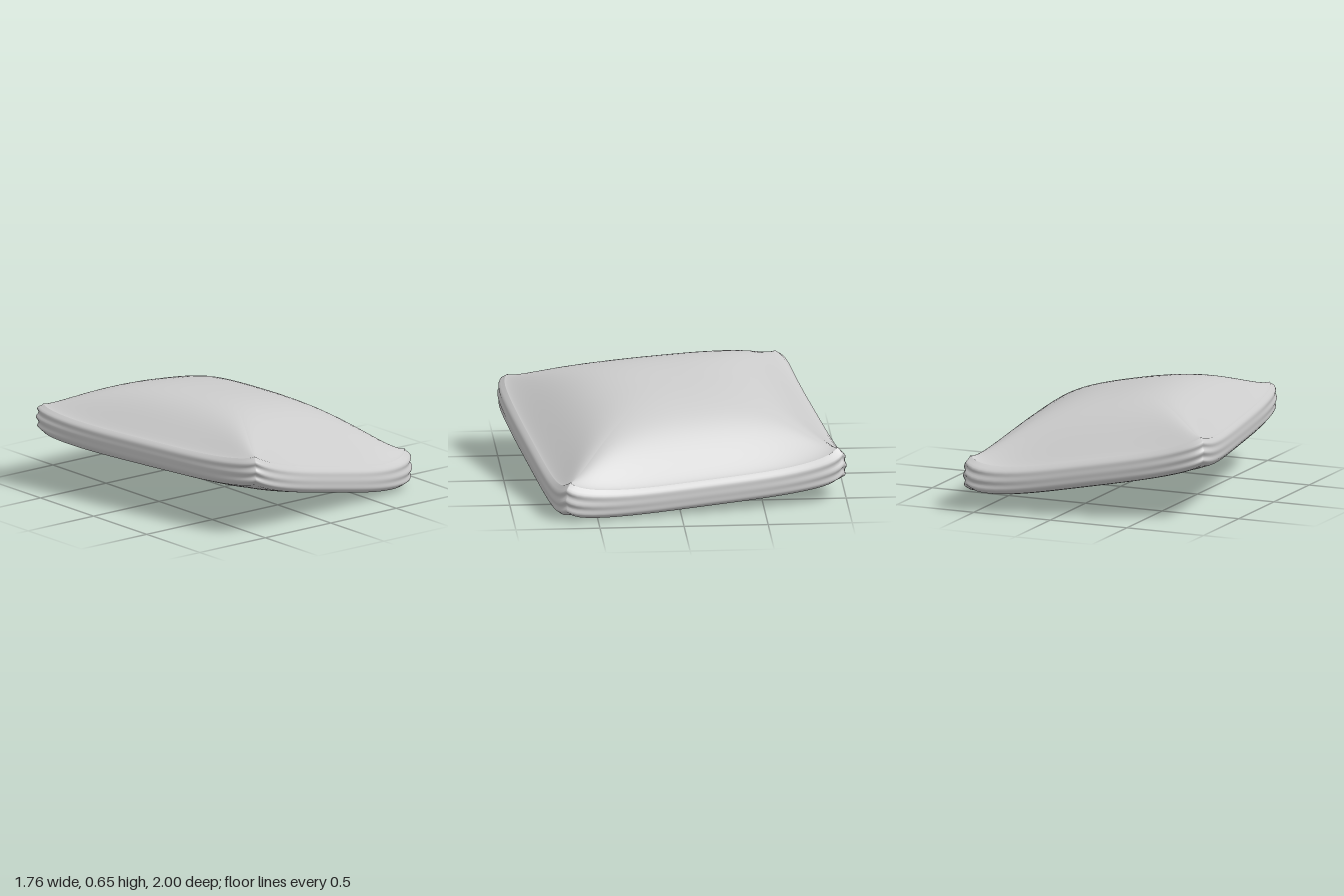
import * as THREE from 'three';

// Corners of the cushion outline as [x, z]
const BACK_R = [-0.907, -0.738], BACK_L = [0.592, -1.03];
const FRONT_L = [0.907, 0.722], FRONT_R = [-0.582, 1.026];

const SIDE = 28;        // steps along each edge
const RINGS = 24;       // rings from centre to rim
const BAND = 20;        // steps down the side band
const PUFF = 0.35;      // extra height in the middle
const INSET = 0.96;     // rim scale where the faces meet the band

// Points round a square, closer together near the corners
function squareLoop() {
  const corners = [[1, -1], [1, 1], [-1, 1], [-1, -1]];
  const loop = [];
  corners.forEach((a, i) => {
    const b = corners[(i + 1) % 4];
    for (let k = 0; k < SIDE; k++) {
      const t = 0.5 - 0.5 * Math.cos(Math.PI * k / SIDE);
      loop.push([a[0] + (b[0] - a[0]) * t, a[1] + (b[1] - a[1]) * t]);
    }
  });
  return loop;
}

// Skewed outline: bilinear blend of the four corners
function plan(u, v) {
  const mix = (i) => ((1 - u) * (1 - v) * BACK_R[i] + (1 + u) * (1 - v) * BACK_L[i]
    + (1 + u) * (1 + v) * FRONT_L[i] + (1 - u) * (1 + v) * FRONT_R[i]) / 4;
  return [mix(0), mix(1)];
}

// Tilted underside that curls up to the edges and corners
const underside = (x, u, v) =>
  0.095 - 0.2 * x + (0.055 + 0.015 * u) * u ** 4 + 0.045 * v ** 4 - 0.02 * u * v;

// Height of the side band, a little taller at the corners
const rim = (u, v) => 0.16 + 0.012 * (2 + u) * (u * v) ** 4;

// Padding: full in the middle, pinched towards the rim, with soft hips to the corners
function padding(u, v) {
  const full = (t) => Math.max(1 - Math.abs(t) ** 2.6, 1e-3) ** 1.2;
  return (1 + 0.07 * u) * ((full(u) ** -4 + full(v) ** -4) / 2) ** -0.25;
}

// Side band outline scale: a rounded bulge with piped ridges that fade away from the corners
function bulge(h, a, b) {
  const ridge = (0.2 + 0.8 * Math.abs(a * b) ** 3) * (1 - Math.cos(6 * Math.PI * (h - 0.5)));
  return 1 - (1 - INSET) * Math.abs(2 * h - 1) ** 4 - 0.007 * ridge * (1 - (2 * h - 1) ** 8);
}

function cushionGeometry() {
  const loop = squareLoop(), n = loop.length;
  const pos = [], index = [];

  // s: ring size, h: fraction of the band height, puff: height of the padding
  const addRing = (s, h, puff) => {
    for (const [a, b] of loop) {
      const round = (Math.abs(a) ** 16 + Math.abs(b) ** 16) ** (-1 / 16);
      const r = s * bulge(h, a, b) * (1 + (round - 1) * s ** 3);
      const u = a * s, v = b * s;
      const [x, z] = plan(a * r, b * r);
      pos.push(x, underside(x, u, v) + h * rim(u, v) + puff * padding(u, v), z);
    }
  };

  const ease = (i) => Math.sin(Math.PI / 2 * i / RINGS);
  for (let i = 0; i <= RINGS; i++) addRing(ease(i), 1, PUFF);       // top
  for (let i = 1; i < BAND; i++) addRing(1, 1 - i / BAND, 0);       // side band
  for (let i = RINGS; i >= 0; i--) addRing(ease(i), 0, 0);          // bottom

  const rows = pos.length / 3 / n;
  for (let i = 0; i < rows - 1; i++) {
    for (let j = 0; j < n; j++) {
      const k = (j + 1) % n;
      const a = i * n + j, b = i * n + k, c = a + n, d = b + n;
      if (i < rows - 2) index.push(a, d, c);
      if (i > 0) index.push(a, b, d);
    }
  }

  const geo = new THREE.BufferGeometry();
  geo.setAttribute('position', new THREE.Float32BufferAttribute(pos, 3));
  geo.setIndex(index);
  geo.computeVertexNormals();

  // Shared normals at the two centre points
  const normal = geo.attributes.normal;
  for (let j = 0; j < n; j++) {
    normal.setXYZ(j, 0.17, 0.985, 0);
    normal.setXYZ((rows - 1) * n + j, -0.196, -0.981, 0);
  }

  // Stand on the ground, centred
  geo.computeBoundingBox();
  const box = geo.boundingBox, mid = box.getCenter(new THREE.Vector3());
  geo.translate(-mid.x, -box.min.y, -mid.z);
  return geo;
}

export function createModel() {
  const group = new THREE.Group();
  group.name = 'pillow';
  const cushion = new THREE.Mesh(
    cushionGeometry(),
    new THREE.MeshStandardMaterial({ color: 0xcccccc }),
  );
  cushion.name = 'cushion';
  group.add(cushion);
  return group;
}
